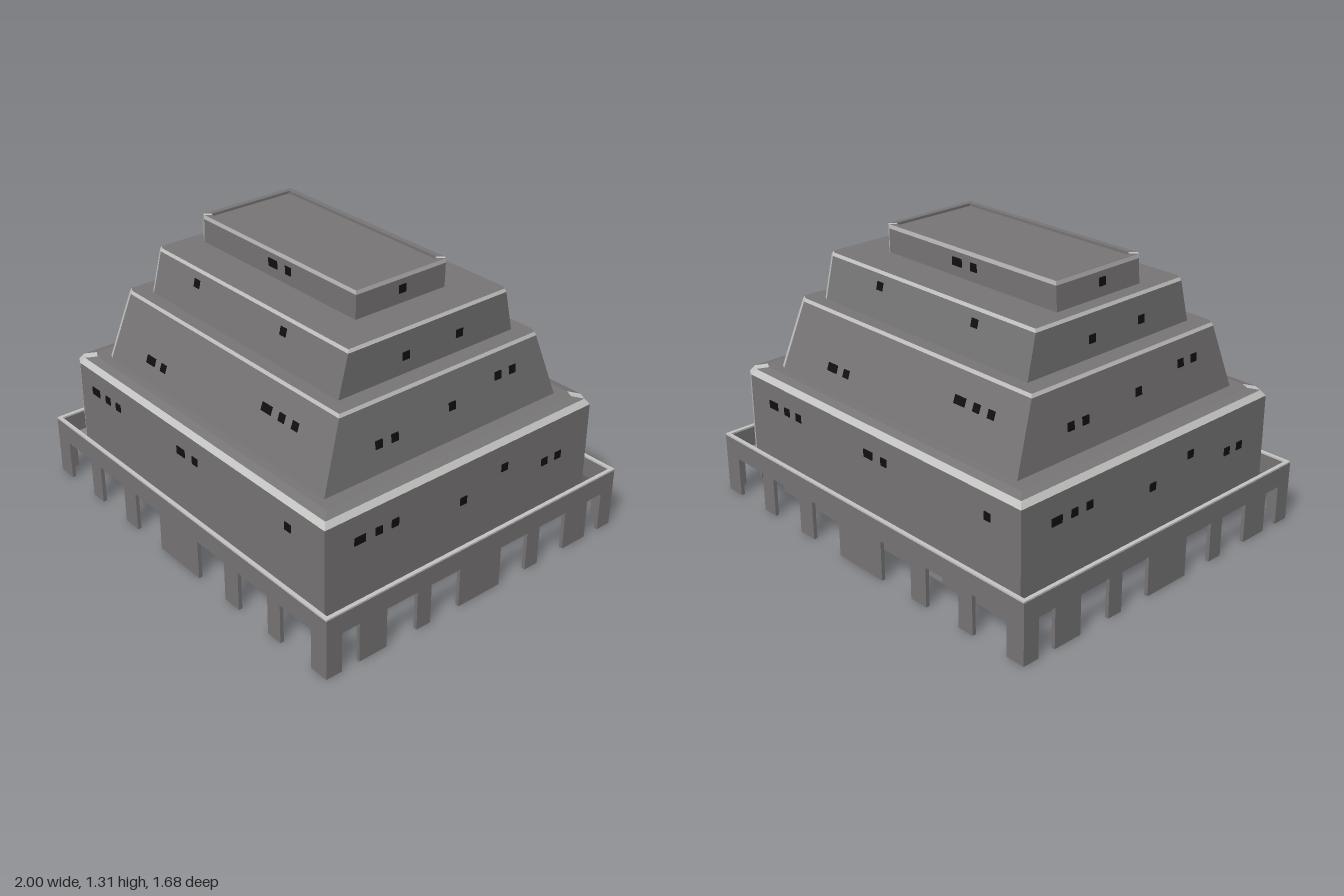
import * as THREE from 'three';

const stone = new THREE.MeshStandardMaterial({ color: 0x787677 });
stone.name = 'grey stone';
const trim = new THREE.MeshStandardMaterial({ color: 0xc6c6c4 });
trim.name = 'light trim';
const dark = new THREE.MeshStandardMaterial({ color: 0x101010 });
dark.name = 'dark window';

// rectangle with two opposite corners cut, counter-clockwise from above
const outline = ([y, x0, x1, z0, z1, c]) => [
  [x0 + c, y, z1], [x1, y, z1], [x1, y, z0 + c * 0.5],
  [x1 - c, y, z0], [x0, y, z0], [x0, y, z1 - c * 0.5],
];

// stacked cross-sections; trimRows and the cut corners take the light material
function loft(name, rows, trimRows = []) {
  const pos = [[], []];
  const tri = (m, a, b, c) => pos[m].push(...a, ...b, ...c);
  const rings = rows.map(outline);
  for (let r = 0; r < rings.length - 1; r++) {
    for (let i = 0; i < 6; i++) {
      const j = (i + 1) % 6, m = trimRows.includes(r) || i === 2 || i === 5 ? 1 : 0;
      const a = rings[r], b = rings[r + 1];
      tri(m, a[i], a[j], b[j]);
      tri(m, a[i], b[j], b[i]);
    }
  }
  const bottom = rings[0], top = rings[rings.length - 1];
  for (let i = 1; i < 5; i++) {
    tri(0, top[0], top[i], top[i + 1]);
    tri(0, bottom[0], bottom[i + 1], bottom[i]);
  }
  const geo = new THREE.BufferGeometry();
  geo.setAttribute('position', new THREE.Float32BufferAttribute([...pos[0], ...pos[1]], 3));
  geo.addGroup(0, pos[0].length / 3, 0);
  geo.addGroup(pos[0].length / 3, pos[1].length / 3, 1);
  geo.computeVertexNormals();
  const mesh = new THREE.Mesh(geo, [stone, trim]);
  mesh.name = name;
  return mesh;
}

function box(name, x0, x1, y0, y1, z0, z1, mat) {
  const mesh = new THREE.Mesh(new THREE.BoxGeometry(x1 - x0, y1 - y0, z1 - z0), mat);
  mesh.position.set((x0 + x1) / 2, (y0 + y1) / 2, (z0 + z1) / 2);
  mesh.name = name;
  return mesh;
}

// wall with rectangular openings cut up from the ground
function arcade(half, openings) {
  const s = new THREE.Shape();
  s.moveTo(-half, 0);
  for (const [a, b] of openings) {
    s.lineTo(a, 0); s.lineTo(a, 0.19); s.lineTo(b, 0.19); s.lineTo(b, 0);
  }
  s.lineTo(half, 0); s.lineTo(half, 0.284); s.lineTo(-half, 0.284);
  const g = new THREE.ExtrudeGeometry(s, { depth: 0.018, bevelEnabled: false });
  return g.translate(0, 0, -0.018);
}
const mirrored = list => [...list, ...list.map(([a, b]) => [-b, -a]).reverse()];

// each tier: y, x0, x1, z0, z1, corner cut at wall foot and wall head
const tiers = [
  { foot: [0.2, -0.905, 0.9, -0.765, 0.765, 0.04], head: [0.615, -0.905, 0.9, -0.765, 0.765, 0.04] },
  { foot: [0.65, -0.777, 0.775, -0.662, 0.664, 0.03], head: [0.957, -0.746, 0.738, -0.556, 0.558, 0.03] },
  { foot: [0.973, -0.655, 0.652, -0.489, 0.489, 0.025], head: [1.165, -0.648, 0.656, -0.44, 0.444, 0.025] },
  { foot: [1.18, -0.577, 0.475, -0.25, 0.25, 0.015], head: [1.29, -0.57, 0.477, -0.25, 0.25, 0.015] },
];
const inset = ([, x0, x1, z0, z1, c], y, d) => [y, x0 + d, x1 - d, z0 + d, z1 - d, c];

// windows: tier, position along the wall, height, width
const W = 0.037;
const frontWindows = [
  [0, -0.735, 0.515, 0.06], [0, -0.635, 0.515, W], [0, -0.55, 0.515, W],
  [0, -0.058, 0.515, 0.057], [0, 0.045, 0.515, W], [0, 0.675, 0.515, W],
  [1, -0.46, 0.745, 0.062], [1, -0.365, 0.745, W],
  [1, 0.337, 0.84, 0.063], [1, 0.435, 0.84, W], [1, 0.52, 0.84, W],
  [2, -0.33, 1.115, W], [2, 0.27, 1.115, W],
  [3, -0.058, 1.245, 0.057], [3, 0.045, 1.245, W],
];
const sideWindows = [
  [0, 0.587, 0.497, 0.058], [0, 0.488, 0.497, W], [0, 0.402, 0.497, W], [0, 0.02, 0.437, W],
  [0, -0.218, 0.505, W], [0, -0.47, 0.432, W], [0, -0.555, 0.432, W],
  [1, 0.37, 0.78, W], [1, 0.285, 0.78, W], [1, -0.034, 0.805, W], [1, -0.303, 0.852, W], [1, -0.389, 0.852, W],
  [2, 0.137, 1.055, W], [2, -0.16, 1.06, W],
  [3, 0, 1.245, W],
];

// thin dark plate leaning with the wall; side turns it about y
function windowPlate([t, u, y, w], column, angle) {
  const { foot, head } = tiers[t];
  const a = Math.abs(foot[column]), b = Math.abs(head[column]);
  const k = (y - foot[0]) / (head[0] - foot[0]);
  const plate = new THREE.Mesh(new THREE.BoxGeometry(w, W, 0.008), dark);
  plate.position.set(u, y, a + (b - a) * k);
  plate.rotation.x = -Math.atan2(a - b, head[0] - foot[0]);
  plate.name = 'window';
  const holder = new THREE.Group();
  holder.name = 'windowHolder';
  holder.rotation.y = angle;
  holder.add(plate);
  return holder;
}

export function createModel() {
  const model = new THREE.Group();
  model.name = 'steppedBuilding';

  // core on the ground with two passages running front to back
  for (const [a, b] of [[-0.8, -0.335], [-0.145, 0.14], [0.332, 0.797]]) {
    model.add(box('coreBlock', a, b, 0.004, 0.2, -0.67, 0.67, stone));
  }
  model.add(box('coreFloor', -0.8, 0.797, 0, 0.004, -0.67, 0.67, stone));

  // four tiers, each with a light rim
  tiers.forEach(({ foot, head }, i) => {
    const rows = [foot, head];
    if (i === 0) {
      rows.push(inset(head, 0.642, 0.018), inset(head, 0.652, 0.06));
    } else if (i < 3) {
      rows.push(inset(head, tiers[i + 1].foot[0], 0.006));
    } else {
      rows.push(inset(head, 1.31, 0), inset(head, 1.31, 0.027), inset(head, 1.298, 0.027));
    }
    model.add(loft('tier' + (i + 1), rows, [1]));
  });

  // free-standing arcade around the foot
  const longWall = arcade(1, mirrored([[-0.905, -0.71], [-0.628, -0.43], [-0.335, -0.143]]));
  const shortWall = arcade(0.822, mirrored([[-0.76, -0.67], [-0.525, -0.36], [-0.283, -0.12]]));
  for (let i = 0; i < 4; i++) {
    const wall = new THREE.Mesh(i % 2 ? shortWall : longWall, stone);
    const out = i % 2 ? 1 : 0.84, half = i % 2 ? 0.822 : 1;
    wall.name = 'arcadeWall';
    wall.position.z = out;
    const coping = box('arcadeCoping', -half, half, 0.284, 0.292, out - 0.018, out, trim);
    const side = new THREE.Group();
    side.name = 'arcadeSide';
    side.add(wall, coping);
    side.rotation.y = i * Math.PI / 2;
    model.add(side);
  }

  // windows repeat on opposite sides, half a turn round with a slight shift
  for (const w of frontWindows) {
    model.add(windowPlate(w, 4, 0));
    model.add(windowPlate([w[0], w[1] + 0.045, w[2], w[3]], 3, Math.PI));
  }
  for (const [t, z, y, w] of sideWindows) {
    model.add(windowPlate([t, -z, y, w], 2, Math.PI / 2));
    model.add(windowPlate([t, -z + 0.015, y, w], 1, -Math.PI / 2));
  }
  return model;
}
